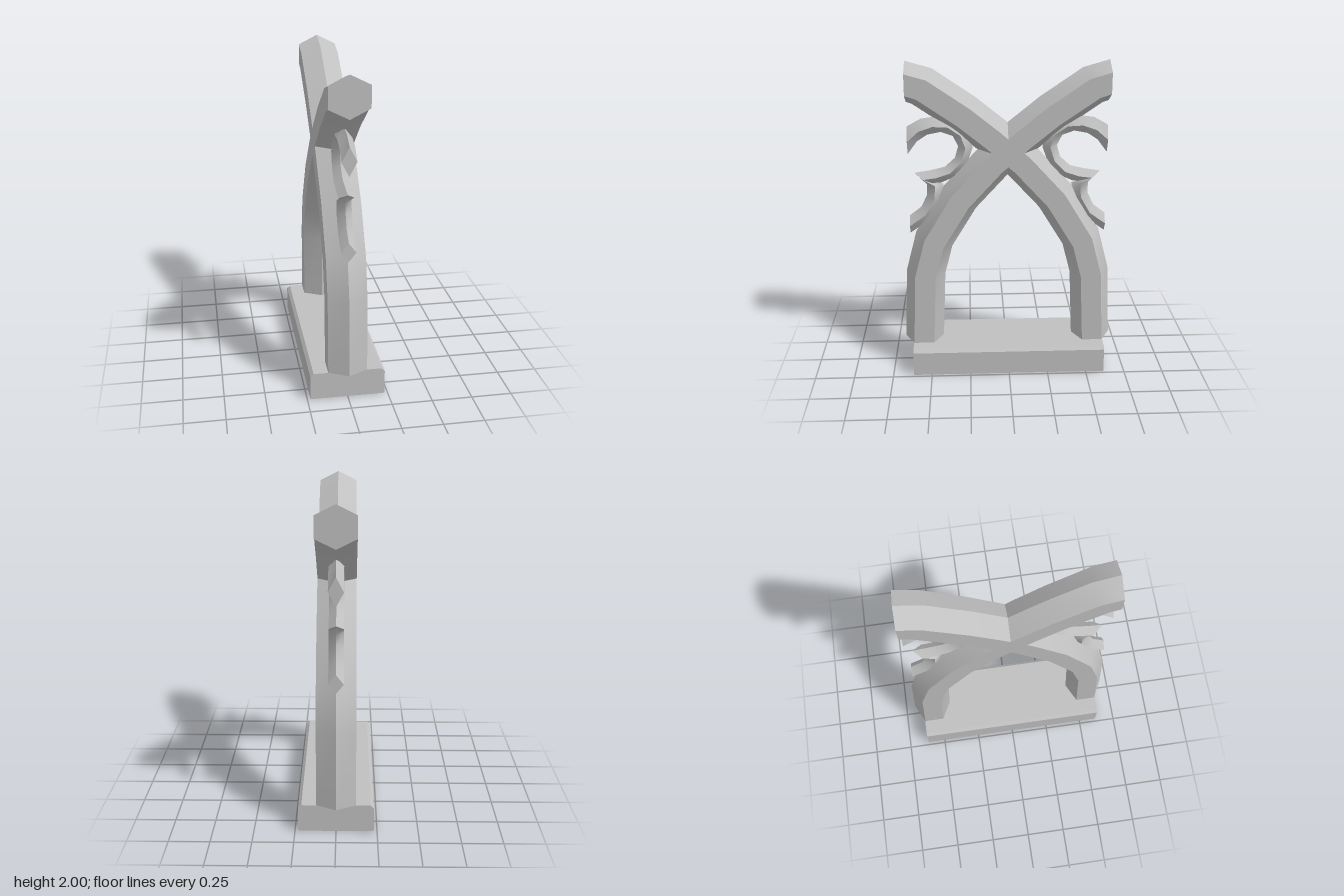
import * as THREE from 'three';

// Skin a list of cross-section loops; smooth along the length, sharp between sides
function loft(sections) {
  const n = sections[0].length, rows = sections.length;
  const pos = [], idx = [];
  for (let j = 0; j < n; j++) {
    const base = pos.length / 3;
    for (const s of sections) pos.push(...s[j], ...s[(j + 1) % n]);
    for (let i = 0; i < rows - 1; i++) {
      const a = base + i * 2;
      idx.push(a, a + 1, a + 3, a, a + 3, a + 2);
    }
  }
  // End caps
  [sections[0], sections[rows - 1]].forEach((s, end) => {
    const base = pos.length / 3;
    s.forEach(p => pos.push(...p));
    for (let j = 1; j < n - 1; j++) {
      if (end) idx.push(base, base + j, base + j + 1);
      else idx.push(base, base + j + 1, base + j);
    }
  });
  const g = new THREE.BufferGeometry();
  g.setAttribute('position', new THREE.Float32BufferAttribute(pos, 3));
  g.setIndex(idx);
  g.computeVertexNormals();
  return g;
}

// Hexagonal rib swept along a [z, y] centre line
function ribGeometry() {
  const path = [[0.55, 0.175], [0.53, 0.63], [0.47, 0.86], [0.30, 1.14], [0.09, 1.37],
    [0, 1.45], [-0.09, 1.53], [-0.27, 1.675], [-0.52, 1.845], [-0.62, 1.875]];
  const last = path.length - 1, W = 0.12, R = 0.125, C = 0.065;
  return loft(path.map(([z, y], i) => {
    const a = path[Math.max(i - 1, 0)], b = path[Math.min(i + 1, last)];
    const len = Math.hypot(b[0] - a[0], b[1] - a[1]);
    let nz = (b[1] - a[1]) / len, ny = -(b[0] - a[0]) / len;
    if (i === 0) { nz = 1; ny = 0; }        // flat foot
    if (i === last) { nz = 0; ny = 1; }     // vertical cut at the tip
    const at = (x, d) => [x, y + ny * d, z + nz * d];
    return [at(0, R), at(W, C), at(W, -C), at(0, -R), at(-W, -C), at(-W, C)];
  }));
}

// Diamond-section scroll between an outer and an inner [z, y] edge
function scrollGeometry(outer, inner) {
  const W = 0.045;
  return loft(outer.map(([z, y], i) => {
    const [iz, iy] = inner[i], mz = (z + iz) / 2, my = (y + iy) / 2;
    return [[0, y, z], [W, my, mz], [0, iy, iz], [-W, my, mz]];
  }));
}

export function createModel() {
  const group = new THREE.Group();
  const stone = new THREE.MeshStandardMaterial({ color: 0xc0c0c0 });
  stone.name = 'grey stone';
  const add = (name, geo, parent = group) => {
    const m = new THREE.Mesh(geo, stone);
    m.name = name;
    parent.add(m);
  };

  // Plinth with chamfered long edges
  const s = new THREE.Shape();
  [[-0.23, 0], [0.23, 0], [0.23, 0.155], [0.21, 0.175], [-0.21, 0.175], [-0.23, 0.155]]
    .forEach(([x, y], i) => (i ? s.lineTo(x, y) : s.moveTo(x, y)));
  const plinth = new THREE.ExtrudeGeometry(s, { depth: 1.234, bevelEnabled: false });
  plinth.translate(0, 0, -0.617);
  add('plinth', plinth);

  const rib = ribGeometry();
  const upper = scrollGeometry(
    [[0.62, 1.597], [0.534, 1.645], [0.429, 1.66], [0.323, 1.634], [0.243, 1.554],
      [0.217, 1.459], [0.254, 1.353], [0.328, 1.273], [0.413, 1.236], [0.476, 1.231]],
    [[0.62, 1.422], [0.561, 1.501], [0.497, 1.544], [0.413, 1.56], [0.339, 1.533],
      [0.307, 1.469], [0.328, 1.395], [0.392, 1.337], [0.481, 1.316], [0.582, 1.3]]);
  const lower = scrollGeometry(
    [[0.476, 1.231], [0.402, 1.225], [0.413, 1.119], [0.497, 0.987], [0.62, 0.902]],
    [[0.582, 1.3], [0.508, 1.225], [0.508, 1.156], [0.545, 1.077], [0.62, 1.019]]);

  // Two crossing ribs, each with its scrollwork
  ['front', 'back'].forEach((side, i) => {
    const half = new THREE.Group();
    half.name = side + 'Half';
    half.rotation.y = i * Math.PI;
    add(side + 'Rib', rib, half);
    add(side + 'UpperScroll', upper, half);
    add(side + 'LowerScroll', lower, half);
    group.add(half);
  });
  return group;
}
